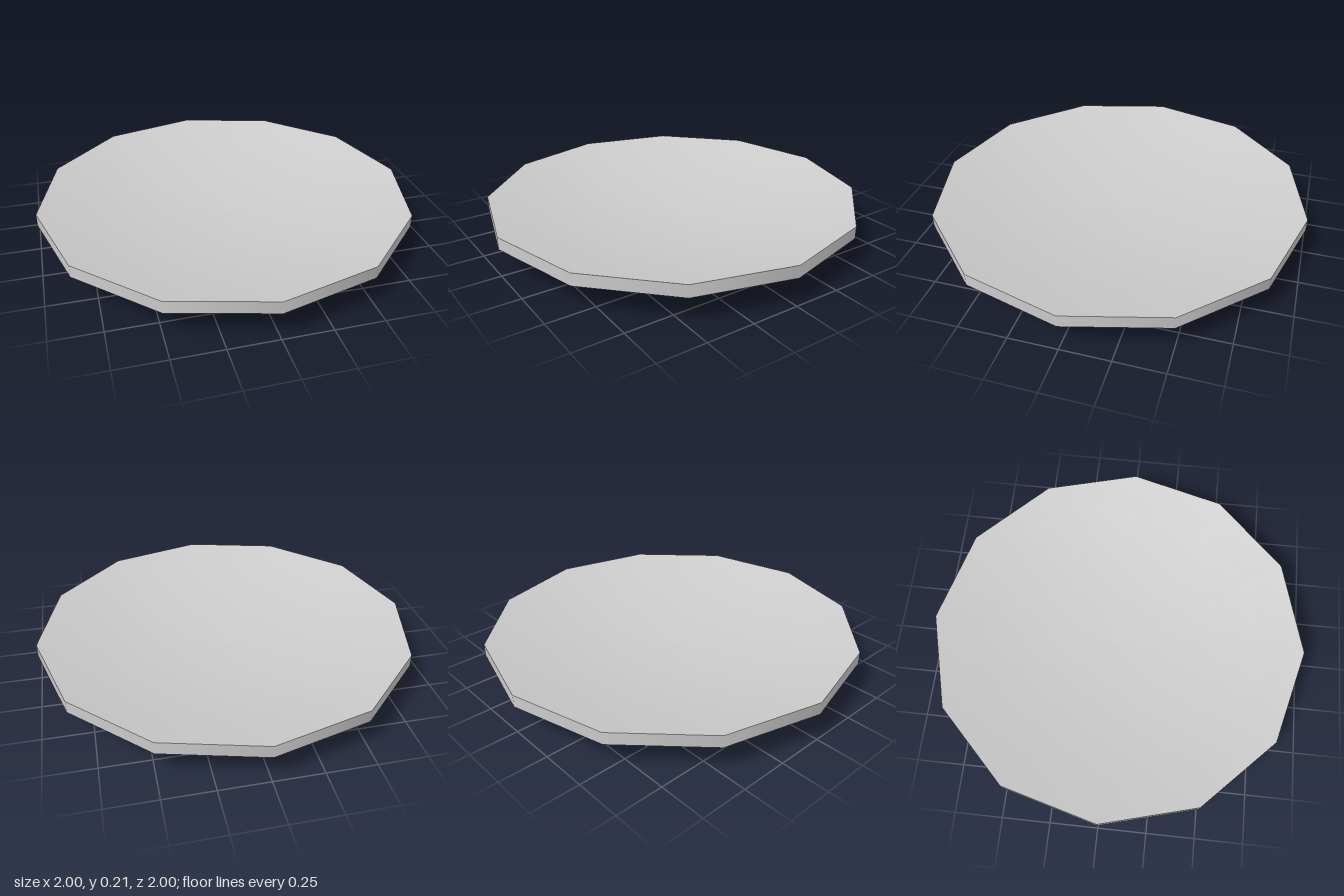
import * as THREE from 'three';

const RIM_SIDES = 12;
const FOOT_SIDES = 8;

export function createModel() {
  const group = new THREE.Group();
  group.name = 'plate';
  const ceramic = new THREE.MeshStandardMaterial({ color: 0xcccccc });
  ceramic.name = 'grey ceramic';

  const add = (name, geometry) => {
    const mesh = new THREE.Mesh(geometry, ceramic);
    mesh.name = name;
    group.add(mesh);
  };
  const lathe = (profile, sides) =>
    new THREE.LatheGeometry(profile.map(([r, y]) => new THREE.Vector2(r, y)), sides);

  // Shallow dished top, from the rim in to the centre
  const dish = [1, 0.8, 0.6, 0.4, 0.2, 0].map((r) => [r, 0.08 + 0.13 * r * r]);
  add('dish', lathe(dish, RIM_SIDES));

  // Upright outer edge
  add('rim', lathe([[1, 0.145], [1, 0.21]], RIM_SIDES));

  // Flat eight-sided foot
  add('footBase', lathe([[0, 0], [0.598, 0]], FOOT_SIDES));

  // Sloping underside: foot wall, then a flare from eight sides to twelve
  add('underside', undersideGeometry());
  return group;
}

function undersideGeometry() {
  const positions = [];
  const index = [];
  const ring = (sides, radius, y) => {
    const start = positions.length / 3;
    for (let i = 0; i < sides; i++) {
      const a = (i / sides) * Math.PI * 2;
      positions.push(Math.sin(a) * radius, y, Math.cos(a) * radius);
    }
    return { start, sides, at: (i) => start + (i % sides) };
  };

  // Join two rings, always stepping along the one that lags behind
  const bridge = (low, high) => {
    let i = 0;
    let j = 0;
    while (i < low.sides || j < high.sides) {
      if ((i + 1) * high.sides <= (j + 1) * low.sides) {
        index.push(low.at(i), low.at(i + 1), high.at(j));
        i++;
      } else {
        index.push(low.at(i), high.at(j + 1), high.at(j));
        j++;
      }
    }
  };

  const foot = ring(FOOT_SIDES, 0.598, 0);
  const shoulder = ring(FOOT_SIDES, 0.685, 0.068);
  const edge = ring(RIM_SIDES, 1, 0.145);
  bridge(foot, shoulder);
  bridge(shoulder, edge);

  const geometry = new THREE.BufferGeometry();
  geometry.setAttribute('position', new THREE.Float32BufferAttribute(positions, 3));
  geometry.setIndex(index);
  geometry.computeVertexNormals();
  return geometry;
}
